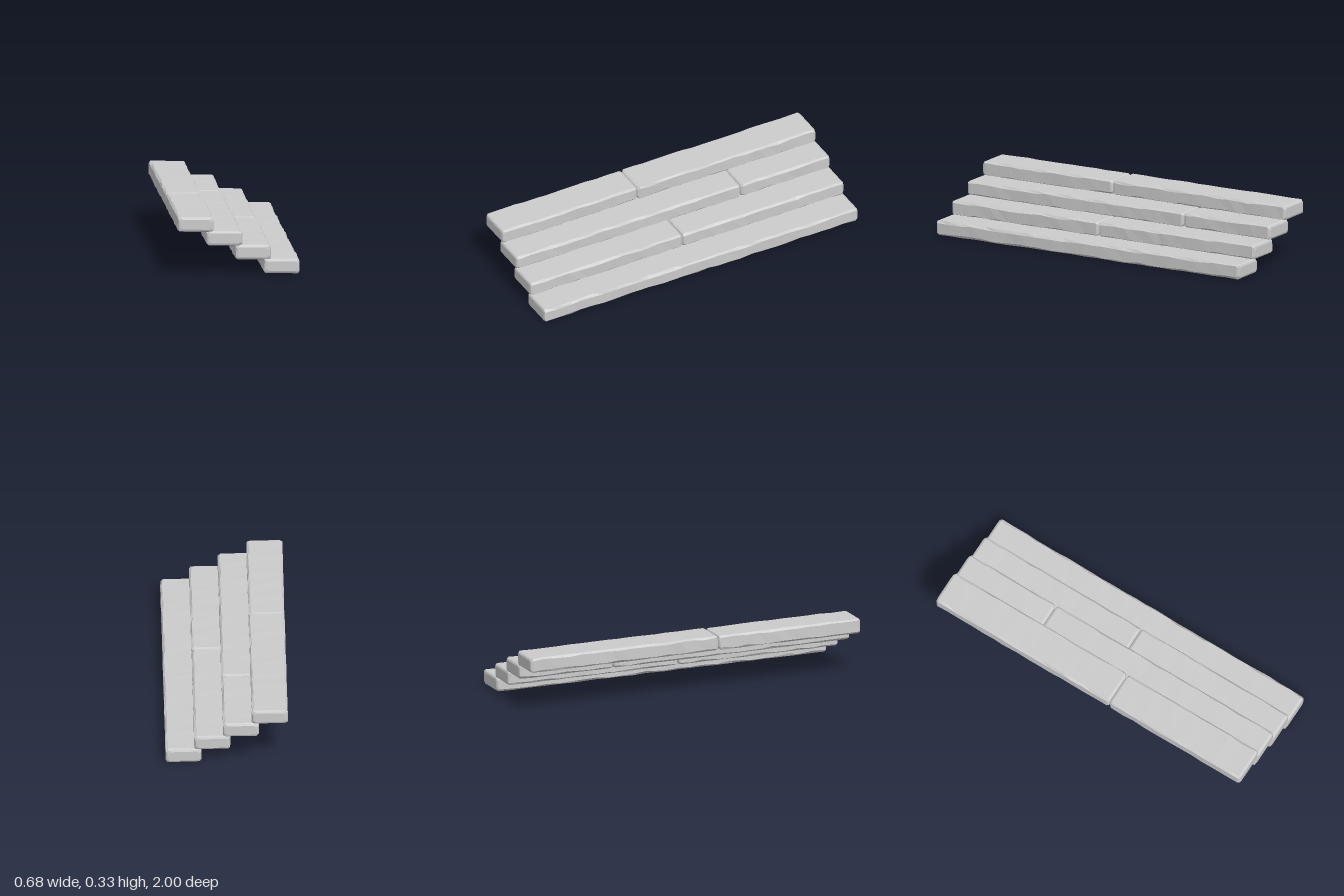
import * as THREE from 'three';

const material = new THREE.MeshStandardMaterial({ color: 0xcccccc, flatShading: true });

// Small seeded generator for the chipped edges
function seeded(seed) {
  let s = seed;
  return () => (s = (s * 16807) % 2147483647) / 2147483647;
}

// Chamfered octagon, counter-clockwise; the chamfer of each corner is worn unevenly
function ring(w, h, z, inset, rand) {
  const x = w / 2 - inset, y = h / 2 - inset;
  const points = [];
  for (const [sx, sy] of [[1, -1], [1, 1], [-1, 1], [-1, -1]]) {
    const cx = 0.006 + 0.010 * rand(), cy = 0.006 + 0.010 * rand();
    const dx = 0.003 * rand(), dy = 0.002 * rand();
    const alongX = [sx * (x - cx - dx), sy * (y - dy), z];
    const alongY = [sx * (x - dx), sy * (y - cy - dy), z];
    points.push(...(sx * sy < 0 ? [alongX, alongY] : [alongY, alongX]));
  }
  return points;
}

// Hewn stone block lofted through worn rings from z0 to z1
function stoneBlock(w, h, z0, z1, seed) {
  const rand = seeded(seed);
  const length = z1 - z0, n = Math.max(6, Math.round(length / 0.075));
  const rings = [ring(w, h, z0, 0.014, rand), ring(w, h, z0 + 0.004, 0.005, rand)];
  for (let i = 0; i <= n; i++) {
    const shift = i > 0 && i < n ? (rand() - 0.5) * 0.04 : 0;
    rings.push(ring(w, h, z0 + 0.014 + (length - 0.028) * i / n + shift, 0, rand));
  }
  rings.push(ring(w, h, z1 - 0.004, 0.005, rand), ring(w, h, z1, 0.014, rand));

  const positions = rings.flat(2), index = [], last = (rings.length - 1) * 8;
  for (let i = 0; i < rings.length - 1; i++) {
    for (let j = 0; j < 8; j++) {
      const a = i * 8 + j, b = i * 8 + (j + 1) % 8;
      index.push(a, b, b + 8, a, b + 8, a + 8);
    }
  }
  // End caps
  for (let j = 1; j < 7; j++) {
    index.push(0, j + 1, j, last, last + j, last + j + 1);
  }
  const geometry = new THREE.BufferGeometry();
  geometry.setAttribute('position', new THREE.Float32BufferAttribute(positions, 3));
  geometry.setIndex(index);
  const flat = geometry.toNonIndexed();
  flat.computeVertexNormals();
  return flat;
}

export function createModel() {
  const group = new THREE.Group();
  group.name = 'stoneSteps';
  // Joint position along z for each step, from the bottom one up
  const joints = [null, 0.03, -0.43, 0.14];
  joints.forEach((joint, i) => {
    const step = new THREE.Group();
    step.name = `step${i + 1}`;
    step.position.set(0.24 - 0.16 * i, 0.044 + 0.08 * i, 0);
    const spans = joint === null ? [[-1, 1]] : [[-1, joint - 0.001], [joint + 0.001, 1]];
    spans.forEach(([z0, z1], k) => {
      const block = new THREE.Mesh(stoneBlock(0.203, 0.085, z0, z1, 7919 * (i * 2 + k + 1)), material);
      block.name = `step${i + 1}Block${k + 1}`;
      block.rotation.z = -0.018;
      step.add(block);
    });
    group.add(step);
  });
  return group;
}
